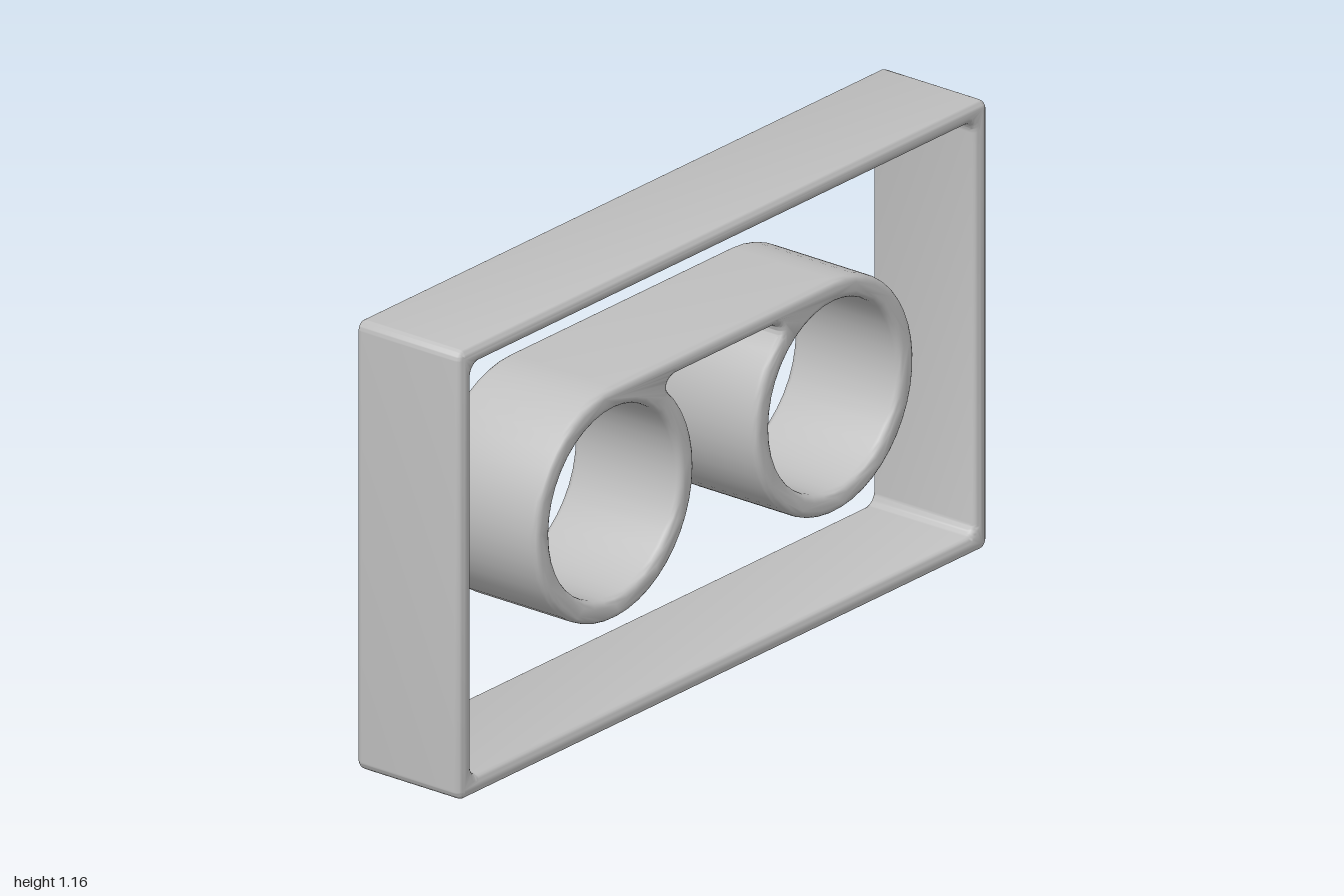
import * as THREE from 'three';
import { toCreasedNormals } from 'three/addons/utils/BufferGeometryUtils.js';

const BEVEL = 0.018;

// Rounded rectangle outline between two corners
function roundedRect(path, x0, y0, x1, y1, r) {
  path.moveTo(x0 + r, y0);
  path.lineTo(x1 - r, y0);
  path.absarc(x1 - r, y0 + r, r, -Math.PI / 2, 0);
  path.lineTo(x1, y1 - r);
  path.absarc(x1 - r, y1 - r, r, 0, Math.PI / 2);
  path.lineTo(x0 + r, y1);
  path.absarc(x0 + r, y1 - r, r, Math.PI / 2, Math.PI);
  path.lineTo(x0, y0 + r);
  path.absarc(x0 + r, y0 + r, r, Math.PI, Math.PI * 1.5);
  return path;
}

// Extrude a flat outline to a softly bevelled slab centred on z = 0
function slab(shape, halfDepth, curveSegments, material, name) {
  const depth = 2 * (halfDepth - BEVEL);
  const geometry = new THREE.ExtrudeGeometry(shape, {
    depth, curveSegments, bevelEnabled: true, bevelThickness: BEVEL,
    bevelSize: BEVEL, bevelOffset: -BEVEL, bevelSegments: 4,
  });
  geometry.translate(0, 0, -depth / 2);
  const mesh = new THREE.Mesh(toCreasedNormals(geometry, 0.8), material);
  mesh.name = name;
  return mesh;
}

export function createModel() {
  const group = new THREE.Group();
  group.name = 'framedTwinRings';
  const grey = new THREE.MeshStandardMaterial({ color: 0xc0c0c0 });
  grey.name = 'grey';

  // Rectangular outer frame
  const frame = roundedRect(new THREE.Shape(), -1, 0, 1, 1.165, 0.025);
  frame.holes.push(roundedRect(new THREE.Path(), -0.951, 0.049, 0.951, 1.118, 0.03));
  group.add(slab(frame, 0.16, 6, grey, 'frame'));

  // Two rings joined along their tops by a straight bar
  const cx = 0.416, cy = 0.585, outer = 0.302, inner = 0.244;
  const barBottom = 0.842, join = THREE.MathUtils.degToRad(133);
  const joinX = cx + outer * Math.cos(join), joinY = cy + outer * Math.sin(join);
  const rings = new THREE.Shape();
  rings.moveTo(-cx, cy + outer);
  rings.lineTo(cx, cy + outer);
  rings.absarc(cx, cy, outer, Math.PI / 2, join - 2 * Math.PI, true);
  rings.quadraticCurveTo(joinX + 0.015, barBottom - 0.008, joinX - 0.025, barBottom);
  rings.lineTo(-joinX + 0.025, barBottom);
  rings.quadraticCurveTo(-joinX - 0.015, barBottom - 0.008, -joinX, joinY);
  rings.absarc(-cx, cy, outer, Math.PI - join, Math.PI / 2 - 2 * Math.PI, true);
  for (const side of [-1, 1]) {
    rings.holes.push(new THREE.Path().absarc(side * cx, cy, inner, 0, Math.PI * 2));
  }
  group.add(slab(rings, 0.165, 20, grey, 'joinedRings'));

  return group;
}
